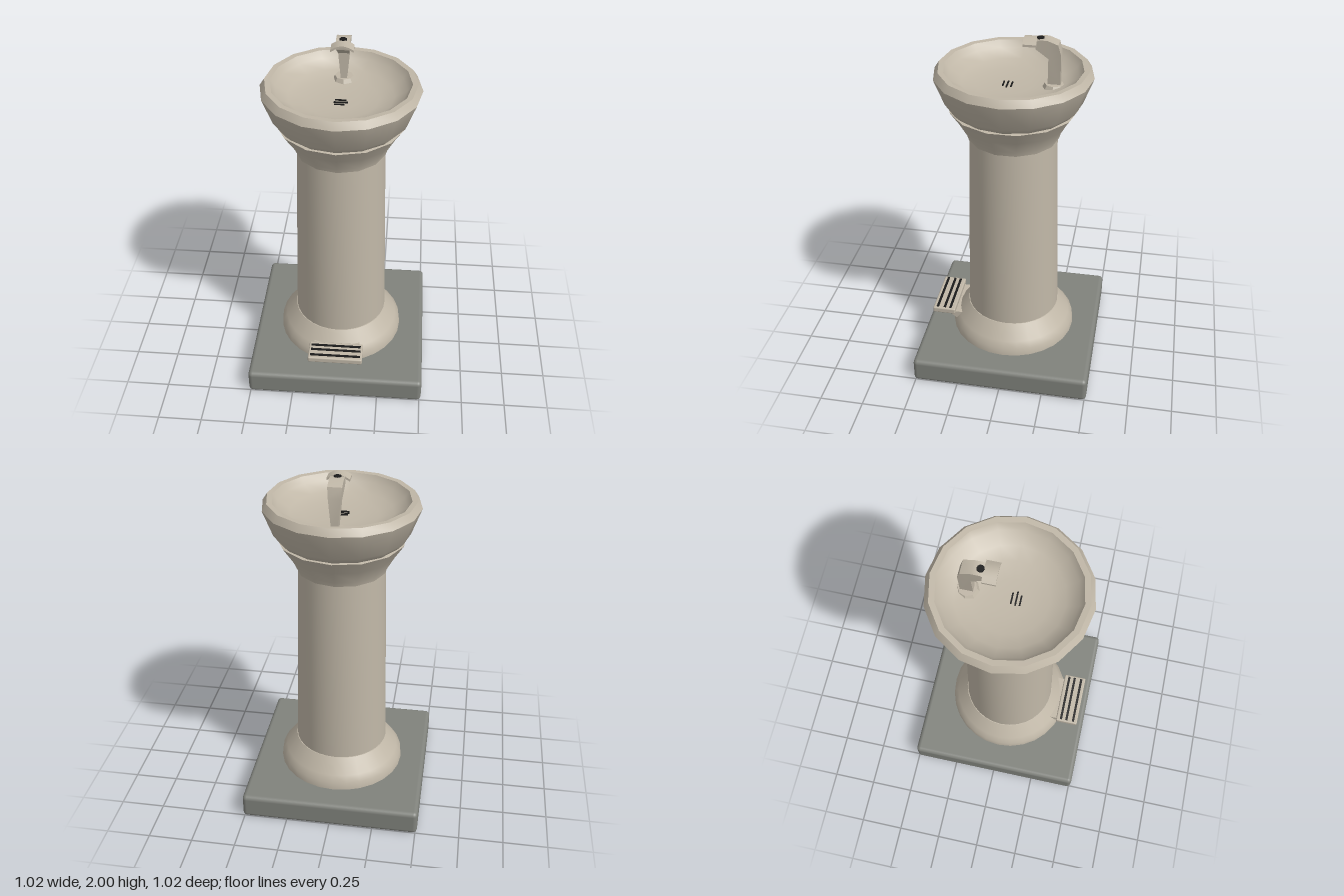
import * as THREE from 'three';
import { toCreasedNormals } from 'three/addons/utils/BufferGeometryUtils.js';
import { RoundedBoxGeometry } from 'three/addons/geometries/RoundedBoxGeometry.js';

const material = (name, color) => {
  const m = new THREE.MeshStandardMaterial({ color });
  m.name = name;
  return m;
};

export function createModel() {
  const stone = material('warm stone', 0xc0b7a7);
  const slab = material('grey slab', 0x80827c);
  const black = material('black', 0x1a1a1a);
  const fountain = new THREE.Group();
  fountain.name = 'drinkingFountain';

  const add = (parent, name, geometry, mat, x = 0, y = 0, z = 0) => {
    const mesh = new THREE.Mesh(geometry, mat);
    mesh.name = name;
    mesh.position.set(x, y, z);
    parent.add(mesh);
    return mesh;
  };
  const group = (name) => {
    const g = new THREE.Group();
    g.name = name;
    fountain.add(g);
    return g;
  };
  // Turned part from [radius, height] pairs
  const turned = (points, sides, crease = 0.7) => toCreasedNormals(
    new THREE.LatheGeometry(points.map(([r, y]) => new THREE.Vector2(r, y)), sides), crease);
  // Side profile of [z, y] pairs given a width along x
  const sideProfile = (points, width) => {
    const shape = new THREE.Shape(points.map(([z, y]) => new THREE.Vector2(z, y)));
    const g = new THREE.ExtrudeGeometry(shape, { depth: width, bevelEnabled: false });
    return g.translate(0, 0, -width / 2).rotateY(-Math.PI / 2);
  };

  // Ground slab and pedestal
  add(fountain, 'baseSlab', new RoundedBoxGeometry(1.02, 0.145, 1.02, 3, 0.025), slab, 0, 0.0725, 0);
  add(fountain, 'plinth', turned(
    [[0.365, 0.14], [0.36, 0.19], [0.335, 0.225], [0.272, 0.31], [0.24, 0.312]], 28), stone);
  add(fountain, 'column', turned([[0.268, 0.3], [0.255, 0.85], [0.24, 1.45]], 32), stone);

  // Flared capital and faceted bowl
  add(fountain, 'capital', turned(
    [[0.23, 1.43], [0.25, 1.428], [0.258, 1.455], [0.3, 1.53], [0.35, 1.605], [0.3, 1.612]], 14), stone);
  add(fountain, 'bowl', turned(
    [[0.29, 1.6], [0.335, 1.608], [0.37, 1.645], [0.425, 1.79], [0.4, 1.828], [0.37, 1.826],
      [0.345, 1.79], [0.28, 1.75], [0.2, 1.73], [0.1, 1.722], [0, 1.722]], 16, 0.8), stone);

  // Drain slots in the bowl floor
  const drain = group('drain');
  [[-0.001, 0.01, 0.06], [0.002, 0.033, 0.075], [-0.005, 0.055, 0.055]].forEach(([x, z, length]) =>
    add(drain, 'drainSlot', new THREE.BoxGeometry(length, 0.006, 0.008), black, x, 1.724, z));

  // Spout: foot plate, bent neck that widens upward, nozzle and mouth guard
  const spout = group('spout');
  add(spout, 'spoutFoot', toCreasedNormals(
    new THREE.CylinderGeometry(0.05, 0.062, 0.022, 8), 0.4), stone, 0, 1.738, -0.215);
  const neck = sideProfile([[-0.25, 1.73], [-0.182, 1.73], [-0.185, 1.895], [-0.12, 1.945],
    [-0.115, 1.985], [-0.14, 1.996], [-0.18, 1.996], [-0.235, 1.975], [-0.25, 1.92]], 1);
  const p = neck.attributes.position;
  for (let i = 0; i < p.count; i++) {
    const t = THREE.MathUtils.clamp((p.getY(i) - 1.73) / 0.24, 0, 1);
    p.setX(i, p.getX(i) * (0.03 + 0.045 * t));
  }
  neck.computeVertexNormals();
  add(spout, 'spoutNeck', toCreasedNormals(neck, 0.7), stone);
  add(spout, 'nozzle', new THREE.CylinderGeometry(0.02, 0.02, 0.006, 10), black, 0, 1.997, -0.14);
  const guard = new THREE.Shape();
  guard.moveTo(-0.06, 1.965);
  guard.quadraticCurveTo(0, 2.01, 0.06, 1.965);
  guard.lineTo(0.06, 1.977);
  guard.quadraticCurveTo(0, 2.02, -0.06, 1.977);
  add(spout, 'mouthGuard', toCreasedNormals(
    new THREE.ExtrudeGeometry(guard, { depth: 0.07, bevelEnabled: false, curveSegments: 5 }), 0.7),
  stone, 0, 0, -0.125);

  // Foot pedal with bracket, pivot and grip strips
  const pedal = group('footPedal');
  add(pedal, 'pedalPlate', new RoundedBoxGeometry(0.315, 0.036, 0.135, 2, 0.008), stone, 0, 0.253, 0.402);
  add(pedal, 'pedalBracket', sideProfile(
    [[0.27, 0.19], [0.325, 0.19], [0.37, 0.225], [0.345, 0.24], [0.27, 0.24]], 0.27), stone);
  add(pedal, 'pedalPivot', new THREE.CylinderGeometry(0.018, 0.018, 0.05, 10).rotateX(Math.PI / 2),
    stone, 0, 0.225, 0.36);
  for (const z of [0.365, 0.4, 0.443]) {
    add(pedal, 'gripStrip', new THREE.BoxGeometry(0.29, 0.006, 0.014), black, 0, 0.272, z);
  }
  return fountain;
}
